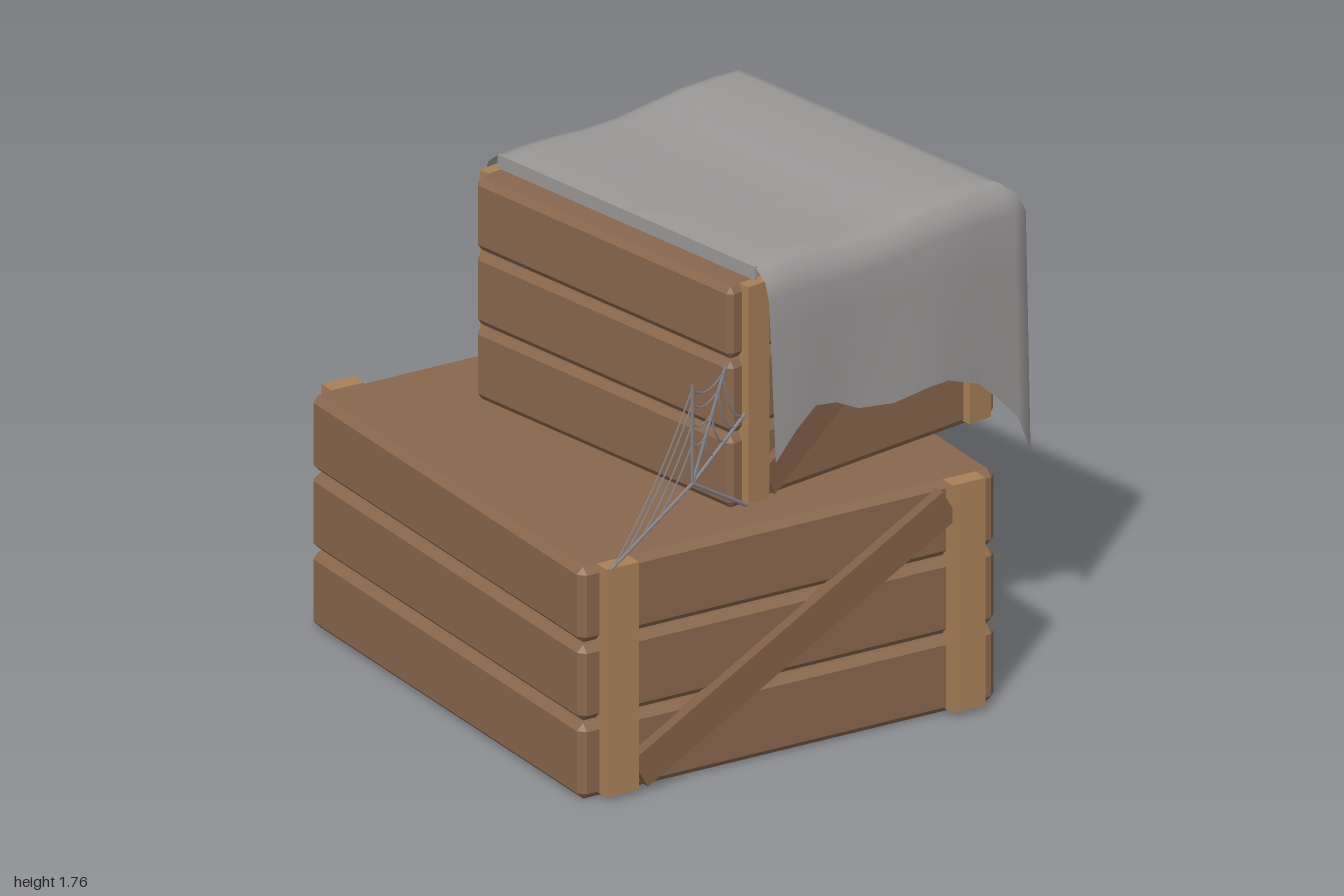
import * as THREE from 'three';
import { ConvexGeometry } from 'three/addons/geometries/ConvexGeometry.js';

const material = (name, color, extra = {}) => {
  const m = new THREE.MeshStandardMaterial({ color, ...extra });
  m.name = name;
  return m;
};

const addMesh = (parent, name, geometry, mat, x = 0, y = 0, z = 0) => {
  const mesh = new THREE.Mesh(geometry, mat);
  mesh.name = name;
  mesh.position.set(x, y, z);
  parent.add(mesh);
  return mesh;
};

// Box with all edges cut at 45 degrees
function chamferedBox(w, h, d, c) {
  const pts = [];
  for (const sx of [-1, 1]) for (const sy of [-1, 1]) for (const sz of [-1, 1]) {
    for (let k = 0; k < 3; k++) {
      pts.push(new THREE.Vector3(
        sx * (w / 2 - (k === 0 ? 0 : c)),
        sy * (h / 2 - (k === 1 ? 0 : c)),
        sz * (d / 2 - (k === 2 ? 0 : c))));
    }
  }
  return new ConvexGeometry(pts);
}

// Three slatted layers, four corner battens and two diagonal braces
function makeCrate(name, mats) {
  const crate = new THREE.Group();
  crate.name = name;
  const layer = chamferedBox(1.66, 0.28, 1.77, 0.025);
  const batten = new THREE.BoxGeometry(0.13, 0.845, 0.065);
  const brace = new THREE.BoxGeometry(1.43, 0.125, 0.05);
  for (let i = 0; i < 3; i++) addMesh(crate, 'plankLayer', layer, mats.wood, 0, 0.1425 + 0.29 * i, 0);
  for (const side of [-1, 1]) {
    for (const x of [-0.69, 0.69]) addMesh(crate, 'batten', batten, mats.batten, x, 0.4425, side * 0.898);
    addMesh(crate, 'diagonalBrace', brace, mats.brace, 0, 0.435, side * 0.902).rotation.z = 0.526;
  }
  return crate;
}

// Draped sheet: a top that fans out to the crate edge, then a skirt down to an uneven hem
function clothGeometry() {
  const backHem = [[-0.5, 1.56], [-0.4, 1.5], [-0.25, 1.42], [-0.1, 1.37], [0.05, 1.36], [0.2, 1.38], [0.35, 1.42], [0.5, 1.42]];
  const rightHem = [[-0.55, 1.42], [-0.4, 1.45], [-0.2, 1.455], [0, 1.46], [0.2, 1.45], [0.4, 1.445], [0.55, 1.43]];
  const frontHem = [[0.54, 0.99], [0.45, 1.07], [0.3, 1.13], [0.2, 1.135], [0.05, 1.12], [-0.1, 1.14],
    [-0.2, 1.19], [-0.3, 1.21], [-0.4, 1.15], [-0.5, 1.06]];
  const X = 0.58, Z = 0.62;
  // Columns: edge x, edge z, outward x, outward z, hem height
  const columns = [
    ...backHem.map(([x, h]) => [x, -Z, 0, -1, h]),
    [X, -Z, 0.4, -1, 1.38], [X, -Z, 1, -1, 1.25], [X, -Z, 1, -0.4, 1.38],
    ...rightHem.map(([z, h]) => [X, z, 1, 0, h]),
    [X, Z, 1, 0.5, 1.36], [X, Z, 1, 1, 0.75], [X, Z, 0.5, 1, 0.89],
    ...frontHem.map(([x, h]) => [x, Z, 0, 1, h]),
  ];
  const fan = [0, 0.2, 0.4, 0.6, 0.8, 0.92, 1];
  const bend = [[0.035, 0.008], [0.08, 0.045], [0.1, 0.11]];
  const skirt = [0.25, 0.5, 0.75, 1];
  const rows = fan.length + bend.length + skirt.length;
  const topY = (x) => 1.747 - 0.013 * Math.cos(x * Math.PI / 0.4);
  const pos = [], index = [];
  columns.forEach(([px, pz, nx, nz, hem], i) => {
    const edgeY = topY(px);
    for (const f of fan) {
      const x = -0.5 + (px + 0.5) * f;
      pos.push(x, topY(x), pz * f);
    }
    for (const [o, d] of bend) pos.push(px + nx * o, edgeY - d, pz + nz * o);
    for (const f of skirt) {
      const o = 0.1 + f * (0.022 + 0.012 * Math.sin(px * 9));
      pos.push(px + nx * o, THREE.MathUtils.lerp(edgeY - 0.11, hem, f), pz + nz * o);
    }
    if (i === columns.length - 1) return;
    for (let j = 0; j < rows - 1; j++) {
      const a = i * rows + j, b = a + rows;
      index.push(a, b + 1, a + 1);
      if (j > 0) index.push(a, b, b + 1);
    }
  });
  const g = new THREE.BufferGeometry();
  g.setAttribute('position', new THREE.Float32BufferAttribute(pos, 3));
  g.setIndex(index);
  g.computeVertexNormals();
  return g;
}

// Cobweb: spokes from a hub, joined by sagging threads
function makeWeb(mat) {
  const web = new THREE.Group();
  web.name = 'cobweb';
  const point = (x, y) => new THREE.Vector3(x, y, 0.86 - (x + 0.92) * 0.15);
  const hub = point(-0.53, 1.06);
  const tips = [point(-0.92, 0.86), point(-0.53, 1.43), point(-0.37, 1.45), point(-0.28, 1.24), point(-0.27, 0.9)];
  for (const tip of tips) {
    addMesh(web, 'webSpoke', new THREE.TubeGeometry(new THREE.LineCurve3(hub, tip), 1, 0.007, 5), mat);
  }
  for (let i = 0; i < 3; i++) {
    for (const f of [0.4, 0.6, 0.8, 0.95]) {
      const a = hub.clone().lerp(tips[i], f), b = hub.clone().lerp(tips[i + 1], f);
      const mid = a.clone().lerp(b, 0.5).lerp(hub, 0.22);
      addMesh(web, 'webThread', new THREE.TubeGeometry(new THREE.QuadraticBezierCurve3(a, mid, b), 6, 0.004, 4), mat);
    }
  }
  return web;
}

export function createModel() {
  const mats = {
    wood: material('plank wood', 0x88674d),
    batten: material('batten wood', 0xa88057),
    brace: material('brace wood', 0x805f46),
    cloth: material('grey cloth', 0x9b9998, { side: THREE.DoubleSide }),
    web: material('cobweb grey', 0x86868a),
  };
  const model = new THREE.Group();
  model.name = 'stackedCrates';

  // Large crate below
  const lower = makeCrate('lowerCrate', mats);
  lower.position.set(-0.1, 0, 0);
  lower.rotation.y = -0.09;
  model.add(lower);

  // Smaller crate on top, turned the other way
  const upper = makeCrate('upperCrate', mats);
  upper.position.set(0.225, 0.88, 0.03);
  upper.rotation.y = 0.1;
  upper.scale.set(0.738, 0.953, 0.73);
  model.add(upper);

  // Cloth over the upper crate, with its folded left edge
  const cover = new THREE.Group();
  cover.name = 'cover';
  cover.position.set(0.225, 0, 0.03);
  cover.rotation.y = 0.1;
  addMesh(cover, 'cloth', clothGeometry(), mats.cloth);
  addMesh(cover, 'clothFold', new THREE.BoxGeometry(0.012, 0.05, 1.3), mats.cloth, -0.496, 1.729, 0);
  model.add(cover);

  model.add(makeWeb(mats.web));
  return model;
}
